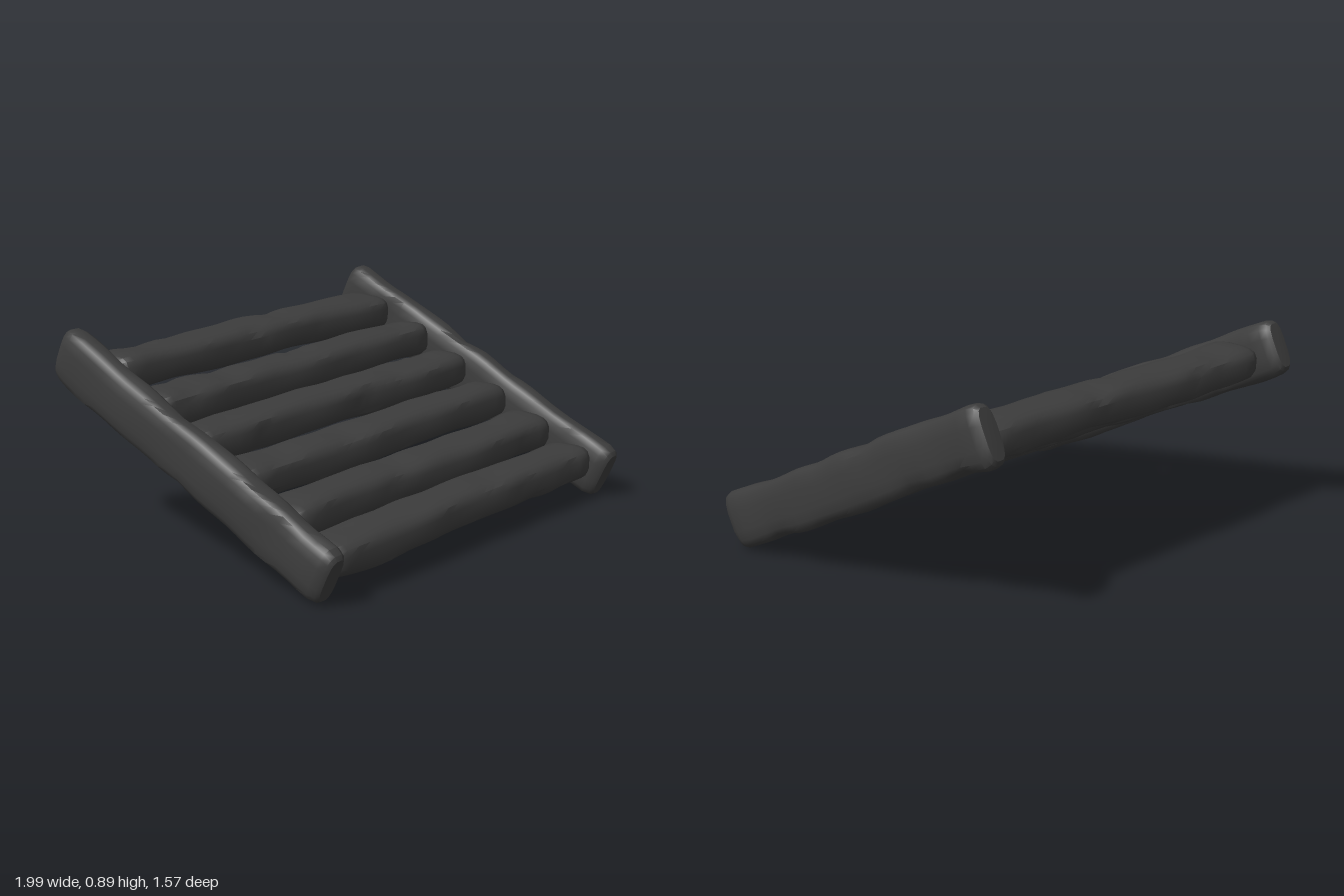
import * as THREE from 'three';
import { toCreasedNormals } from 'three/addons/utils/BufferGeometryUtils.js';

const SLOPE = THREE.MathUtils.degToRad(25);
const SIDES = 16;
const material = new THREE.MeshStandardMaterial({ color: 0x3c3c3c });

// Small seeded generator, so every beam wears differently but repeatably
function seeded(seed) {
  let s = seed * 7919 + 17;
  return () => (s = (s * 16807) % 2147483647) / 2147483647;
}

// Rough-hewn beam along x: rounded rectangular section, blunt ends, wavy faces and chips
function beam(name, length, height, width, seed, twist = 0) {
  const rand = seeded(seed);
  for (let i = 0; i < 5; i++) rand();
  const phase = Array.from({ length: 6 }, () => rand() * Math.PI * 2);
  const chips = Array.from({ length: 10 }, () => ({
    x: (rand() - 0.5) * length, a: rand() * Math.PI * 2, depth: 0.06 + rand() * 0.1, size: 0.03 + rand() * 0.05,
  }));
  const half = length / 2;
  // Stations along the length, with extra rings for the blunt ends
  const stations = [[-half, 0.66], [-half + 0.015, 0.86], [-half + 0.05, 0.98]];
  const steps = 26;
  for (let i = 1; i < steps; i++) stations.push([(i / steps - 0.5) * (length - 0.1), 1]);
  stations.push([half - 0.05, 0.98], [half - 0.015, 0.86], [half, 0.66]);

  const positions = [], index = [];
  const round = (v) => Math.sign(v) * Math.pow(Math.abs(v), 2 / 3.2);
  for (const [x, taper] of stations) {
    const swell = 1 + 0.02 * Math.sin(x * 7 + phase[0]) + 0.015 * Math.sin(x * 17 + phase[1]);
    const driftY = 0.004 * Math.sin(x * 5 + phase[2]);
    const driftZ = 0.004 * Math.sin(x * 4 + phase[3]);
    const turn = twist * x / half;
    for (let j = 0; j < SIDES; j++) {
      const a = ((j + 0.5) / SIDES) * Math.PI * 2;
      let r = swell + 0.015 * Math.sin(3 * a + x * 11 + phase[4]) + 0.012 * Math.sin(2 * a - x * 23 + phase[5]);
      for (const c of chips) {
        const da = Math.atan2(Math.sin(a - c.a), Math.cos(a - c.a));
        r -= c.depth * Math.exp(-(((x - c.x) / c.size) ** 2) - (da / 0.5) ** 2);
      }
      const y = round(Math.cos(a)) * r * (0.4 + 0.6 * taper) * height / 2 + driftY;
      const z = round(Math.sin(a)) * r * taper * width / 2 + driftZ;
      positions.push(x, y * Math.cos(turn) - z * Math.sin(turn), y * Math.sin(turn) + z * Math.cos(turn));
    }
  }
  // Skin between the rings
  const last = stations.length - 1;
  for (let i = 0; i < last; i++) {
    for (let j = 0; j < SIDES; j++) {
      const a = i * SIDES + j, b = i * SIDES + (j + 1) % SIDES;
      index.push(a, b, a + SIDES, b, b + SIDES, a + SIDES);
    }
  }
  // End caps
  const start = positions.length / 3;
  positions.push(-half - 0.004, 0, 0, half + 0.004, 0, 0);
  for (let j = 0; j < SIDES; j++) {
    const k = (j + 1) % SIDES;
    index.push(start, k, j, start + 1, last * SIDES + j, last * SIDES + k);
  }
  const geometry = new THREE.BufferGeometry();
  geometry.setAttribute('position', new THREE.Float32BufferAttribute(positions, 3));
  geometry.setIndex(index);
  const mesh = new THREE.Mesh(toCreasedNormals(geometry, 0.65), material);
  mesh.name = name;
  return mesh;
}

export function createModel() {
  const model = new THREE.Group();
  model.name = 'slattedPanel';

  // Everything is set along one slope, low at the front
  const panel = new THREE.Group();
  panel.name = 'slopingPanel';
  panel.rotation.x = SLOPE;
  panel.position.y = 0.46;
  model.add(panel);

  // Side rails
  const rightRail = beam('rightRail', 1.61, 0.25, 0.122, 3);
  rightRail.rotation.y = Math.PI / 2;
  rightRail.position.set(-0.935, 0.003, -0.008);
  const leftRail = beam('leftRail', 1.635, 0.255, 0.12, 8);
  leftRail.rotation.y = Math.PI / 2 + 0.012;
  leftRail.position.x = 0.926;
  panel.add(rightRail, leftRail);

  // Cross slats from back to front, each lying level like a stair tread
  [-0.56, -0.315, -0.085, 0.15, 0.385, 0.605].forEach((z, i) => {
    const width = i === 0 ? 0.26 : 0.242;
    const slat = beam('slat' + (i + 1), 1.73, 0.155, width, 21 + i * 5, i % 2 ? -0.04 : 0.04);
    slat.position.set(-0.005, 0, z / Math.cos(SLOPE));
    slat.rotation.set(-SLOPE, [0.004, 0, -0.004, 0.005, 0.003, -0.004][i], i === 0 ? 0 : 0.011);
    panel.add(slat);
  });

  return model;
}
